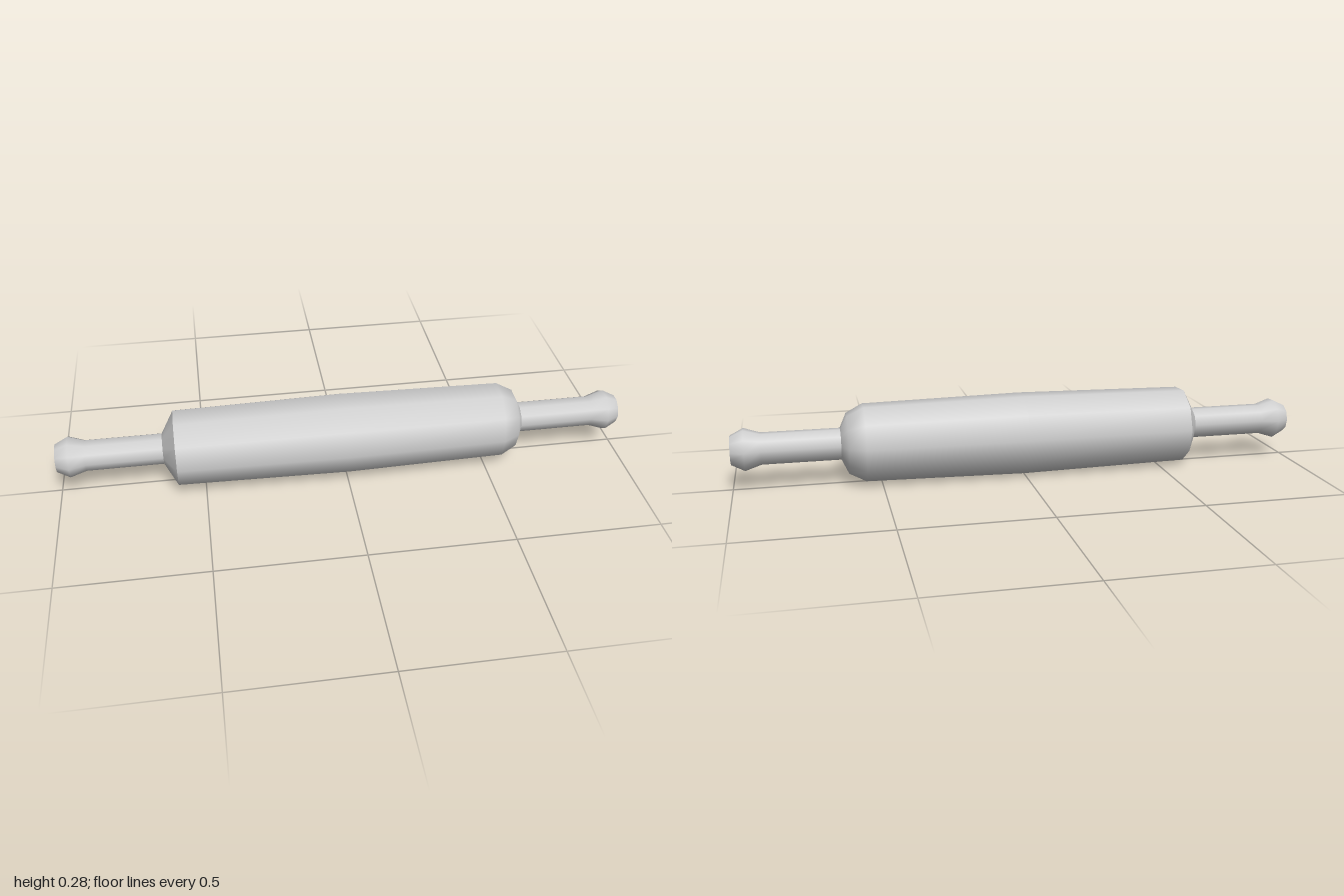
import * as THREE from 'three';

const SIDES = 10;
const AXIS_Y = 0.141;

// Turned surface around the x axis; points are [x, radius] in ascending x.
function turned(name, points, material) {
  const profile = points.map(([x, r]) => new THREE.Vector2(r, x));
  const geometry = new THREE.LatheGeometry(profile, SIDES, THREE.MathUtils.degToRad(3));
  geometry.rotateZ(-Math.PI / 2);
  const mesh = new THREE.Mesh(geometry, material);
  mesh.name = name;
  return mesh;
}

export function createModel() {
  const group = new THREE.Group();
  group.name = 'rollingPin';
  const grey = new THREE.MeshStandardMaterial({ color: 0xcccccc });
  grey.name = 'lightGrey';

  // Slightly bulging barrel with a rounded right shoulder
  group.add(turned('barrel', [
    [-0.593, 0.135], [0, 0.1445], [0.555, 0.135], [0.612, 0.105], [0.635, 0.055],
  ], grey));

  // Sharp bevel on the other end of the barrel
  group.add(turned('barrelBevel', [[-0.637, 0.055], [-0.593, 0.135]], grey));

  // Handles with knobs, mirrored; flat end discs are separate for a crisp edge
  const handle = [[0.62, 0.055], [0.9, 0.055], [0.955, 0.073], [1, 0.05]];
  const endDisc = [[1, 0.05], [1, 0]];
  const mirror = (points) => points.map(([x, r]) => [-x, r]).reverse();
  group.add(turned('leftHandle', handle, grey));
  group.add(turned('leftHandleEnd', endDisc, grey));
  group.add(turned('rightHandle', mirror(handle), grey));
  group.add(turned('rightHandleEnd', mirror(endDisc), grey));

  group.children.forEach((part) => { part.position.y = AXIS_Y; });
  return group;
}
